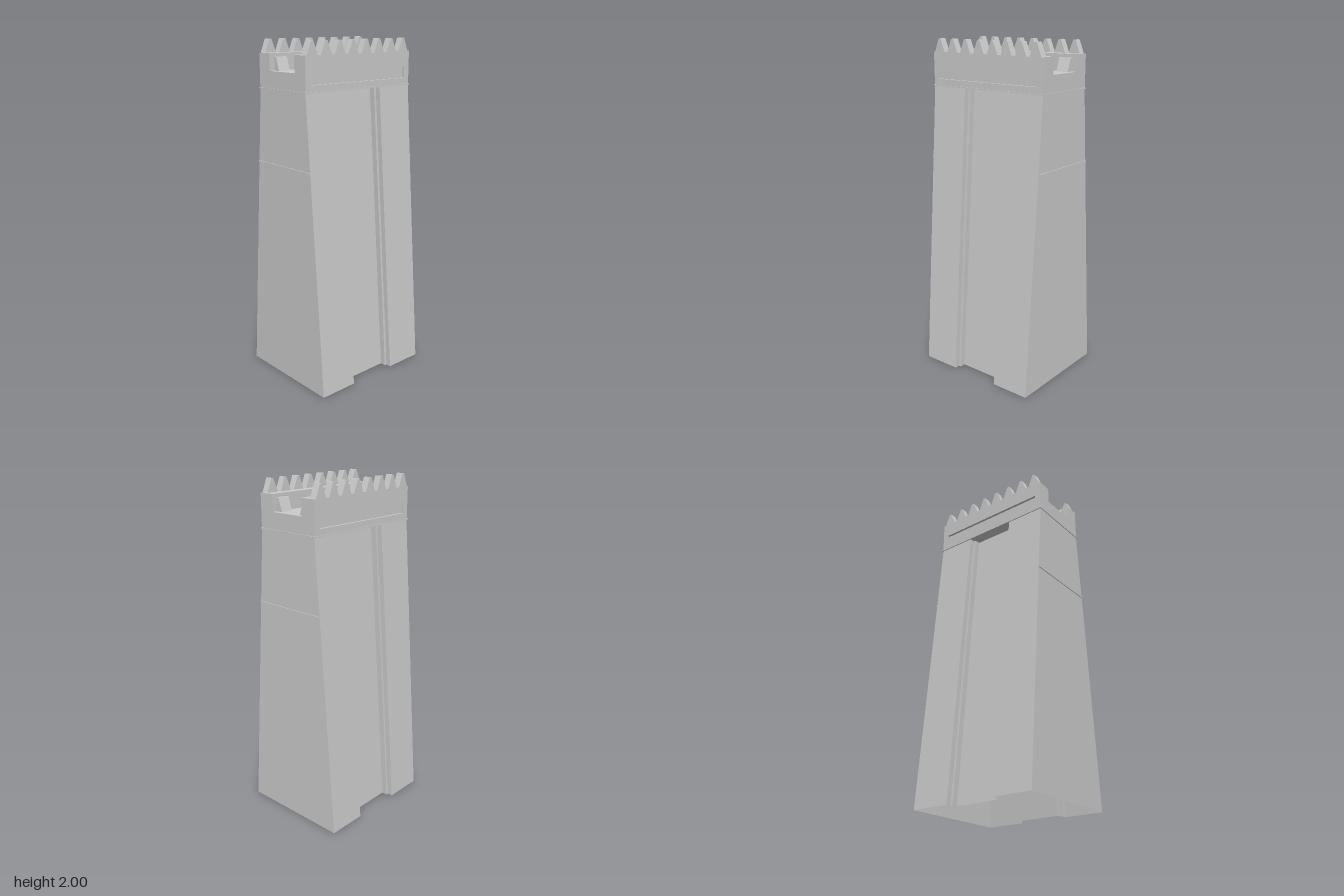
import * as THREE from 'three';

const H = 1.73;      // height of the tapered shaft
const HALF_X = 0.393;
const material = new THREE.MeshStandardMaterial({ color: 0xcccccc, flatShading: true, side: THREE.DoubleSide });

export function createModel() {
  const model = new THREE.Group();

  const add = (name, geometry, x = 0, y = 0, z = 0) => {
    const mesh = new THREE.Mesh(geometry, material);
    mesh.name = name;
    mesh.position.set(x, y, z);
    model.add(mesh);
    return mesh;
  };

  // Extrudes a [z, y] profile along x, from x0 to x1
  const extrudeX = (points, x0, x1) => {
    const shape = new THREE.Shape(points.map(([z, y]) => new THREE.Vector2(-z, y)));
    const geometry = new THREE.ExtrudeGeometry(shape, { depth: x1 - x0, bevelEnabled: false });
    return geometry.rotateY(Math.PI / 2).translate(x0, 0, 0);
  };

  // Mirrors a half profile (z > 0) into a closed one
  const mirrorZ = (half) => [...half, ...half.map(([z, y]) => [-z, y]).reverse()];

  // Hollow tapered shaft, open below, with a stepped channel front and back
  const outline = (z) => {
    const half = [[HALF_X, z], [0.155, z], [0.155, z - 0.031], [0.14, z - 0.031], [0.14, z - 0.065]];
    const front = [...half, ...half.map(([x, d]) => [-x, d]).reverse()];
    return [...front, ...front.map(([x, d]) => [-x, -d])];
  };
  const low = outline(0.335), high = outline(0.2);
  const positions = [];
  low.forEach(([x, z], i) => {
    const j = (i + 1) % low.length;
    const a = [x, 0, z], b = [low[j][0], 0, low[j][1]];
    const c = [high[j][0], H, high[j][1]], d = [high[i][0], H, high[i][1]];
    positions.push(...b, ...a, ...d, ...b, ...d, ...c);
  });
  const shaft = new THREE.BufferGeometry();
  shaft.setAttribute('position', new THREE.Float32BufferAttribute(positions, 3));
  shaft.computeVertexNormals();
  add('shaft', shaft);

  // Parapet: a trough open at both ends, with a long sunken panel on each face
  const plain = mirrorZ([[0.11, 1.83], [0.11, 1.925], [0.202, 1.925], [0.202, H]]);
  const slotted = mirrorZ([
    [0.11, 1.83], [0.11, 1.925], [0.202, 1.925],
    [0.202, 1.835], [0.187, 1.835], [0.187, 1.77], [0.202, 1.77], [0.202, H],
  ]);
  add('parapetMiddle', extrudeX(slotted, -0.355, 0.355));
  add('parapetEndLeft', extrudeX(plain, 0.355, HALF_X));
  add('parapetEndRight', extrudeX(plain, -HALF_X, -0.355));

  // Thin trim round the parapet foot and across each side
  add('parapetTrim', new THREE.BoxGeometry(0.796, 0.008, 0.412), 0, H + 0.002, 0);
  for (const side of [-1, 1]) {
    add('sideTrim', new THREE.BoxGeometry(0.008, 0.01, 0.466), side * (HALF_X + 0.001), 1.305, 0);
  }

  // Pointed battlements along both edges
  const tooth = new THREE.Shape([[-0.0375, 0], [0.0375, 0], [0.0075, 0.075], [-0.0075, 0.075]]
    .map(([x, y]) => new THREE.Vector2(x, y)));
  const toothGeometry = new THREE.ExtrudeGeometry(tooth, { depth: 0.042, bevelEnabled: false });
  toothGeometry.translate(0, 0, -0.021);
  for (const side of [-1, 1]) {
    for (let i = 0; i < 8; i++) {
      add('battlement', toothGeometry, (i - 3.5) * 0.0982 - 0.002, 1.925, side * 0.181);
    }
  }

  // Sloped buttresses inside the trough
  for (const side of [-1, 1]) {
    const profile = [[0.112, 1.83], [0.068, 1.83], [0.093, 1.905], [0.112, 1.905]]
      .map(([z, y]) => [side * z, y]);
    for (const x of [-0.322, 0.001, 0.326]) {
      add('buttress', extrudeX(profile, x - 0.0375, x + 0.0375));
    }
  }

  return model;
}
